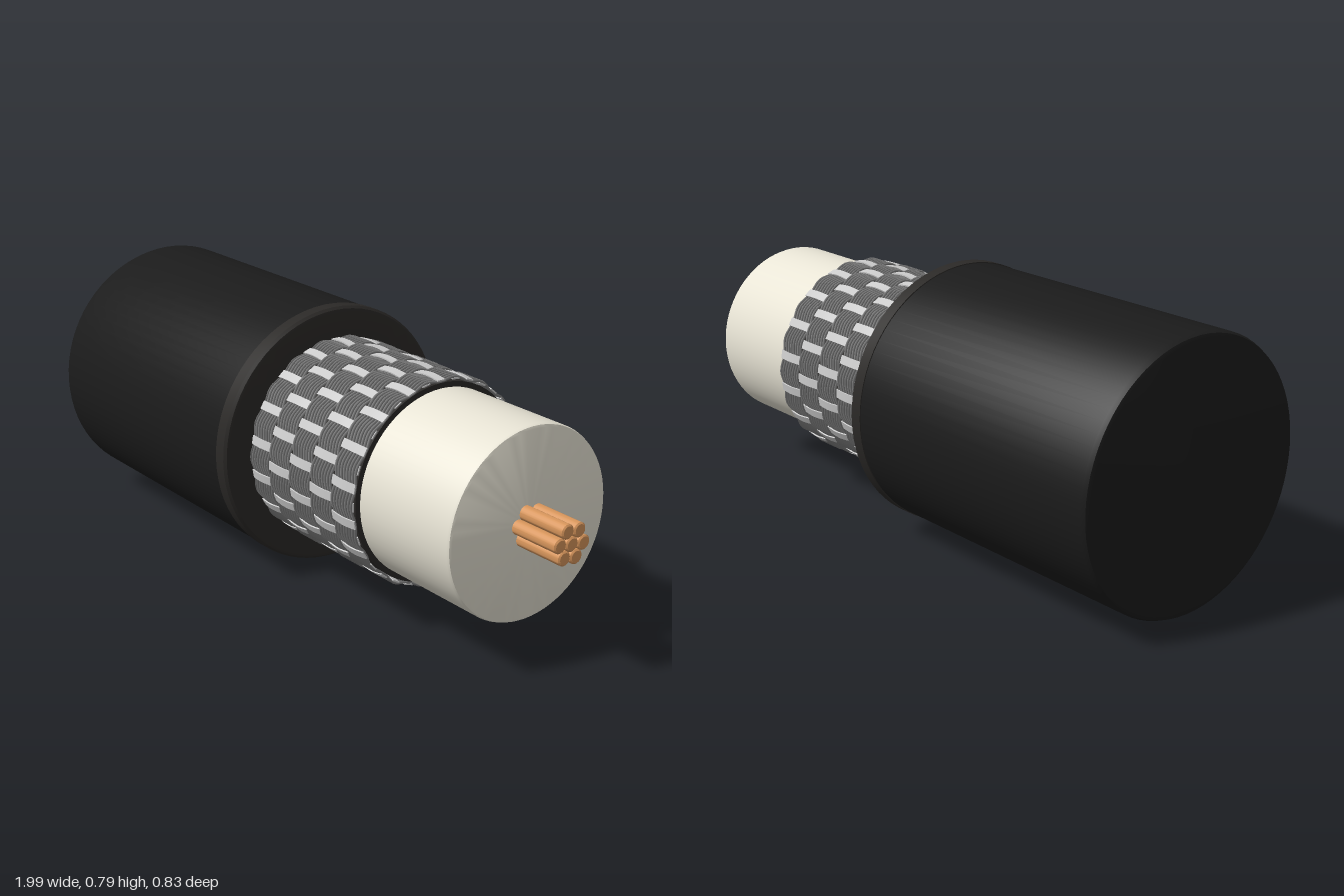
import * as THREE from 'three';
import { toCreasedNormals, mergeGeometries } from 'three/addons/utils/BufferGeometryUtils.js';

const paint = (color) => new THREE.MeshStandardMaterial({ color });
const jacketMat = paint(0x1b1b1b);
const cutMat = paint(0x2b2927);
const wireMat = paint(0x7d7d7d);
const ribbonMat = paint(0xc4c4c4);
const plasticMat = paint(0xe9e5d6);
const copperMat = paint(0xd8965c);

// Turned part along +x; profile is a list of [x, radius] from left to right
function turned(name, profile, material, segments = 72) {
  const points = profile.map(([x, r]) => new THREE.Vector2(r, x));
  const geometry = new THREE.LatheGeometry(points, segments);
  geometry.rotateZ(-Math.PI / 2);
  const mesh = new THREE.Mesh(toCreasedNormals(geometry, 0.6), material);
  mesh.name = name;
  return mesh;
}

// Woven shield: wavy hoops passing over and under lengthwise ribbons
function createBraid() {
  const braid = new THREE.Group();
  braid.name = 'braidedShield';
  const start = -0.03, bands = 5, bandWidth = 0.0985, hoopsPerBand = 8;
  const ribbons = 36, radius = 0.3005, wave = 0.005;

  const hoops = [];
  for (let band = 0; band < bands; band++) {
    for (let i = 0; i < hoopsPerBand; i++) {
      const hoop = new THREE.TorusGeometry(radius, 0.0045, 5, 144);
      const p = hoop.attributes.position;
      for (let v = 0; v < p.count; v++) {
        const angle = Math.atan2(p.getY(v), p.getX(v));
        const k = 1 + (wave / radius) * Math.cos((ribbons / 2) * angle + band * Math.PI);
        p.setXY(v, p.getX(v) * k, p.getY(v) * k);
      }
      hoop.rotateY(Math.PI / 2);
      hoop.translate(start + bandWidth * (band + (i + 0.5) / hoopsPerBand), 0, 0);
      hoops.push(hoop);
    }
  }
  const hoopMesh = new THREE.Mesh(mergeGeometries(hoops), wireMat);
  hoopMesh.name = 'braidHoops';

  const length = bands * bandWidth;
  const strips = [];
  for (let k = 0; k < ribbons; k++) {
    const strip = new THREE.BoxGeometry(length, 0.004, 0.026, 40, 1, 1);
    strip.translate(start + length / 2, radius, 0);
    const p = strip.attributes.position;
    const sign = k % 2 ? 1 : -1;
    for (let v = 0; v < p.count; v++) {
      const s = Math.sin((Math.PI * (p.getX(v) - start)) / bandWidth);
      p.setY(v, p.getY(v) + sign * wave * s);
    }
    strip.computeVertexNormals();
    strip.rotateX((k / ribbons) * Math.PI * 2 - Math.PI / 2);
    strips.push(strip);
  }
  const stripMesh = new THREE.Mesh(mergeGeometries(strips), ribbonMat);
  stripMesh.name = 'braidRibbons';

  braid.add(hoopMesh, stripMesh);
  return braid;
}

// Seven copper strands packed in a hexagon
function createConductor() {
  const conductor = new THREE.Group();
  conductor.name = 'conductor';
  const r = 0.021;
  const profile = [[0.8, 0], [0.8, r], [0.985, r], [0.989, r * 0.8], [0.99, 0]];
  for (let i = 0; i < 7; i++) {
    const strand = turned('copperStrand', profile, copperMat, 20);
    if (i > 0) {
      const angle = 0.12 + (i * Math.PI) / 3;
      strand.position.set(0, 0.042 * Math.sin(angle), 0.042 * Math.cos(angle));
    }
    conductor.add(strand);
  }
  return conductor;
}

export function createModel() {
  const cable = new THREE.Group();
  cable.name = 'cable';
  cable.add(
    turned('outerJacket', [[-0.982, 0], [-0.982, 0.376], [-0.978, 0.386], [-0.965, 0.392],
      [-0.07, 0.392], [-0.07, 0.28]], jacketMat),
    turned('jacketCutEnd', [[-0.07, 0.28], [-0.07, 0.395], [-0.032, 0.395], [-0.024, 0.388],
      [-0.022, 0.38], [-0.022, 0.28]], cutMat),
    turned('shieldLining', [[-0.03, 0.27], [-0.03, 0.293], [0.46, 0.293], [0.46, 0.27]], cutMat),
    createBraid(),
    turned('insulation', [[-0.03, 0], [-0.03, 0.277], [0.818, 0.277], [0.826, 0.274],
      [0.829, 0.267], [0.829, 0]], plasticMat),
    createConductor()
  );

  // The cable lies level, turned slightly toward the front at its stripped end
  cable.rotation.y = -0.042;
  cable.position.set(0, 0.396, 0.0185);

  const model = new THREE.Group();
  model.name = 'strippedCable';
  model.add(cable);
  return model;
}
